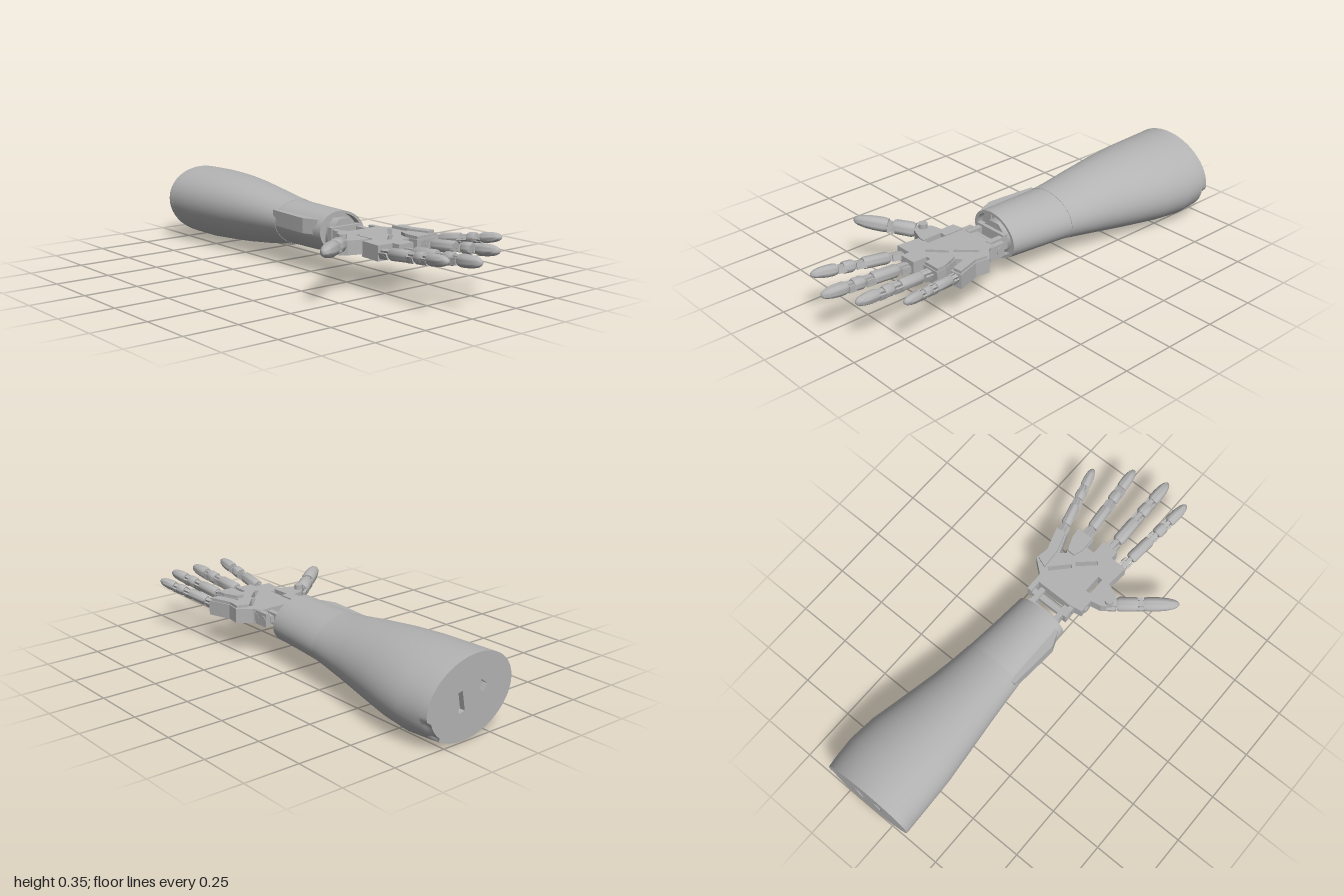
import * as THREE from 'three';
import { mergeGeometries, toCreasedNormals } from 'three/addons/utils/BufferGeometryUtils.js';

const grey = new THREE.MeshStandardMaterial({ color: 0xb3b3b3 });
grey.name = 'grey';
const SIDES = 64;

function add(parent, name, geometry, x = 0, y = 0, z = 0) {
  const m = new THREE.Mesh(geometry, grey);
  m.name = name;
  m.position.set(x, y, z);
  parent.add(m);
  return m;
}
const box = (p, name, w, h, d, x, y, z) => add(p, name, new THREE.BoxGeometry(w, h, d), x, y, z);
const pinX = (r, l, n = 16) => new THREE.CylinderGeometry(r, r, l, n).rotateZ(Math.PI / 2);

// Skewed elliptical cross-section {z, x0, x1, y0, y1, s: scale, dent}
function ring({ z, x0, x1, y0, y1, s = 1, dent = 0 }) {
  const pts = [];
  for (let j = 0; j < SIDES; j++) {
    const t = (j / SIDES) * Math.PI * 2 - Math.PI;
    const inDent = t > -0.72 && t < -0.1 ? dent : 0;
    pts.push(new THREE.Vector3(
      (x0 + x1) / 2 + ((x1 - x0) / 2) * s * Math.cos(t) - inDent,
      (y0 + y1) / 2 + ((y1 - y0) / 2) * s * Math.sin(t - 0.15), z));
  }
  return pts;
}
function loft(sections) {
  const pos = [], idx = [];
  sections.forEach((s, i) => {
    ring(s).forEach((p, j) => {
      pos.push(p.x, p.y, p.z);
      if (i === sections.length - 1) return;
      const a = i * SIDES + j, b = i * SIDES + ((j + 1) % SIDES);
      idx.push(a, b, b + SIDES, a, b + SIDES, a + SIDES);
    });
  });
  const g = new THREE.BufferGeometry();
  g.setAttribute('position', new THREE.Float32BufferAttribute(pos, 3));
  g.setIndex(idx);
  g.computeVertexNormals();
  return g;
}
const sec = (z, x0, x1, y0, y1, extra = {}) => ({ z, x0, x1, y0, y1, ...extra });

// Outline in x and z, extruded between two heights
function slab(points, y0, y1, holes = []) {
  const shape = new THREE.Shape(points.map(p => new THREE.Vector2(...p)));
  holes.forEach(h => shape.holes.push(new THREE.Path(h.map(p => new THREE.Vector2(...p)))));
  return new THREE.ExtrudeGeometry(shape, { depth: y1 - y0, bevelEnabled: false })
    .rotateX(Math.PI / 2).translate(0, y1, 0);
}
// Thin rectangle around a segment
function slot(ax, ay, bx, by, w) {
  const l = Math.hypot(bx - ax, by - ay), nx = (-(by - ay) / l) * w / 2, ny = ((bx - ax) / l) * w / 2;
  return [[ax + nx, ay + ny], [ax - nx, ay - ny], [bx - nx, by - ny], [bx + nx, by + ny]];
}
// Turned part along +z from [radius, z] pairs
function turned(points) {
  const g = new THREE.LatheGeometry(points.map(p => new THREE.Vector2(...p)), 24).rotateX(Math.PI / 2);
  return toCreasedNormals(g, 0.7);
}

function buildForearm() {
  const g = new THREE.Group();
  g.name = 'forearm';
  const end = sec(-1, -0.11, 0.345, 0.008, 0.355, { dent: 0.02 });
  const seam = sec(-0.2, -0.05, 0.245, 0.08, 0.294);
  add(g, 'upperSleeve', loft([
    end,
    sec(-0.97, -0.109, 0.35, 0.006, 0.355, { dent: 0.02 }),
    sec(-0.965, -0.109, 0.351, 0.006, 0.355),
    sec(-0.85, -0.105, 0.36, 0.003, 0.355),
    sec(-0.72, -0.1, 0.347, 0.013, 0.351),
    sec(-0.58, -0.086, 0.315, 0.026, 0.341),
    sec(-0.4, -0.067, 0.276, 0.049, 0.32),
    sec(-0.28, -0.056, 0.256, 0.068, 0.302),
    seam
  ]));
  add(g, 'seamEdge', loft([seam, { ...seam, s: 0.95 }]));

  // Wrist sleeve with a recessed mouth
  const mouth = sec(0.12, -0.043, 0.212, 0.09, 0.29);
  const inner = { ...mouth, s: 0.88 }, floor = { ...inner, z: 0.085 };
  add(g, 'wristSleeve', mergeGeometries([
    loft([{ ...seam, z: -0.21, s: 0.985 }, { ...seam, z: -0.199, s: 0.985 }, sec(-0.04, -0.046, 0.226, 0.085, 0.291), mouth]),
    loft([mouth, inner]), loft([inner, floor]), loft([floor, { ...floor, s: 0.001 }])
  ]));
  add(g, 'sidePad', slab([[0.03, -0.22], [0.03, 0.09], [-0.035, 0.09], [-0.063, 0.02], [-0.058, -0.06], [-0.045, -0.22]], 0.19, 0.258));

  // End plate with two sockets
  const outline = ring(end).map(p => new THREE.Vector2(p.x, p.y));
  const plate = new THREE.Shape(outline);
  [slot(0.16, 0.13, 0.175, 0.215, 0.032), slot(0.035, 0.2, 0.07, 0.225, 0.036)]
    .forEach(h => plate.holes.push(new THREE.Path(h.map(p => new THREE.Vector2(...p)))));
  add(g, 'endPlate', new THREE.ExtrudeGeometry(plate, { depth: 0.025, bevelEnabled: false }), 0, 0, -0.9995);
  box(g, 'socketFloor', 0.22, 0.15, 0.01, 0.1, 0.18, -0.969);
  return g;
}

function buildWrist() {
  const g = new THREE.Group();
  g.name = 'wrist';
  add(g, 'wristBoss', new THREE.CylinderGeometry(0.08, 0.08, 0.045, 8).rotateX(Math.PI / 2).rotateZ(Math.PI / 8), 0.09, 0.18, 0.105);
  box(g, 'bossPlate', 0.17, 0.07, 0.025, 0.085, 0.19, 0.132);
  for (const x of [0.02, 0.155]) box(g, 'wristArm', 0.025, 0.055, 0.09, x, 0.188, 0.175);
  add(g, 'wristAxle', pinX(0.017, 0.2), 0.1, 0.188, 0.197);
  for (const x of [0.0, 0.2]) {
    box(g, 'palmEar', 0.022, 0.064, 0.075, x, 0.188, 0.212);
    add(g, 'axleCap', pinX(0.02, 0.028), x, 0.188, 0.197);
  }
  box(g, 'wristCrossbar', 0.17, 0.03, 0.015, 0.1, 0.188, 0.182);
  return g;
}

function buildPalm() {
  const g = new THREE.Group();
  g.name = 'palm';
  add(g, 'palmPlate', slab([
    [0, 0.23], [0.2, 0.23], [0.215, 0.265], [0.275, 0.315], [0.265, 0.38], [0.3, 0.49], [0.245, 0.5],
    [0.21, 0.4], [0.185, 0.42], [0.215, 0.5], [0.22, 0.55], [0.13, 0.55], [0.13, 0.5], [0.09, 0.5],
    [0.09, 0.57], [0.01, 0.57], [0.01, 0.53], [-0.07, 0.53], [-0.06, 0.42], [0, 0.42]
  ], 0.155, 0.222, [slot(0.125, 0.385, 0.2, 0.305, 0.02), slot(0.045, 0.47, 0.118, 0.402, 0.02)]));
  add(g, 'ringKnuckleBlock', slab([[0.15, 0.43], [0.185, 0.43], [0.212, 0.5], [0.215, 0.545], [0.135, 0.545], [0.135, 0.47]], 0.2, 0.236));
  add(g, 'littleKnuckleBlock', slab([[0.215, 0.3], [0.268, 0.32], [0.26, 0.38], [0.292, 0.485], [0.25, 0.49], [0.222, 0.4]], 0.2, 0.235));
  add(g, 'thumbMount', slab([
    [-0.05, 0.24], [0.005, 0.23], [0.005, 0.33], [-0.025, 0.33], [-0.025, 0.425], [-0.05, 0.425],
    [-0.12, 0.4], [-0.15, 0.36], [-0.1, 0.315], [-0.05, 0.305]
  ], 0.165, 0.228));
  add(g, 'thumbAxle', new THREE.CylinderGeometry(0.02, 0.02, 0.09, 16), -0.115, 0.205, 0.355);
  // Side screws
  add(g, 'sideScrew', pinX(0.018, 0.01), 0.207, 0.188, 0.25);
  add(g, 'sideScrew', pinX(0.018, 0.01), -0.052, 0.195, 0.275);
  return g;
}

// Hinge: centre tongue, two cheeks and a pin
function hinge(p, r, z0, z1) {
  const d = z1 - z0, z = (z0 + z1) / 2;
  box(p, 'hingeTongue', r * 0.65, r * 1.15, d, 0, 0, z);
  for (const s of [-1, 1]) box(p, 'hingeCheek', r * 0.3, r * 1.05, d * 0.75, s * r * 0.68, -r * 0.15, z - d * 0.125);
  add(p, 'hingePin', pinX(r * 0.3, r * 1.75), 0, -r * 0.1, z);
}

// Finger from base to tip; joints are fractions of its length
function finger(name, base, tip, r, roll, joints) {
  const g = new THREE.Group();
  g.name = name;
  const a = new THREE.Vector3(...base), b = new THREE.Vector3(...tip), L = a.distanceTo(b);
  g.position.copy(a);
  g.lookAt(b);
  g.rotateZ(roll);
  let from = -0.02 * L;
  joints.forEach(([start, stop], i) => {
    const z0 = start * L, z1 = stop * L;
    hinge(g, r, from, z0 + 0.01);
    if (i < joints.length - 1) {
      add(g, 'phalanx', turned([[0, z0], [r * 0.82, z0], [r, z0 + r * 0.4], [r * 0.96, z1 - r * 0.3], [r * 0.85, z1], [0, z1]]));
    } else {
      const t = k => z0 + (z1 - z0) * k;
      add(g, 'fingertip', turned([[0, z0], [r * 0.85, z0], [r * 0.97, t(0.12)], [r * 0.95, t(0.4)], [r * 0.84, t(0.65)],
        [r * 0.66, t(0.83)], [r * 0.42, t(0.94)], [r * 0.2, t(0.985)], [0, z1]]));
    }
    from = z1 - 0.01;
  });
  return g;
}

export function createModel() {
  const model = new THREE.Group();
  model.name = 'mechanicalArm';
  const three = [[0.15, 0.44], [0.54, 0.66], [0.73, 1]];
  model.add(
    buildForearm(), buildWrist(), buildPalm(),
    finger('indexFinger', [-0.045, 0.188, 0.53], [-0.09, 0.235, 0.955], 0.027, 0.3, three),
    finger('middleFinger', [0.05, 0.186, 0.56], [0.048, 0.217, 1], 0.029, 0, three),
    finger('ringFinger', [0.173, 0.198, 0.54], [0.206, 0.233, 0.945], 0.027, -0.3, three),
    finger('littleFinger', [0.27, 0.2, 0.485], [0.352, 0.25, 0.82], 0.024, -0.5, three),
    finger('thumb', [-0.115, 0.207, 0.35], [-0.367, 0.236, 0.543], 0.034, 0.2, [[0.12, 0.42], [0.5, 1]])
  );
  return model;
}
